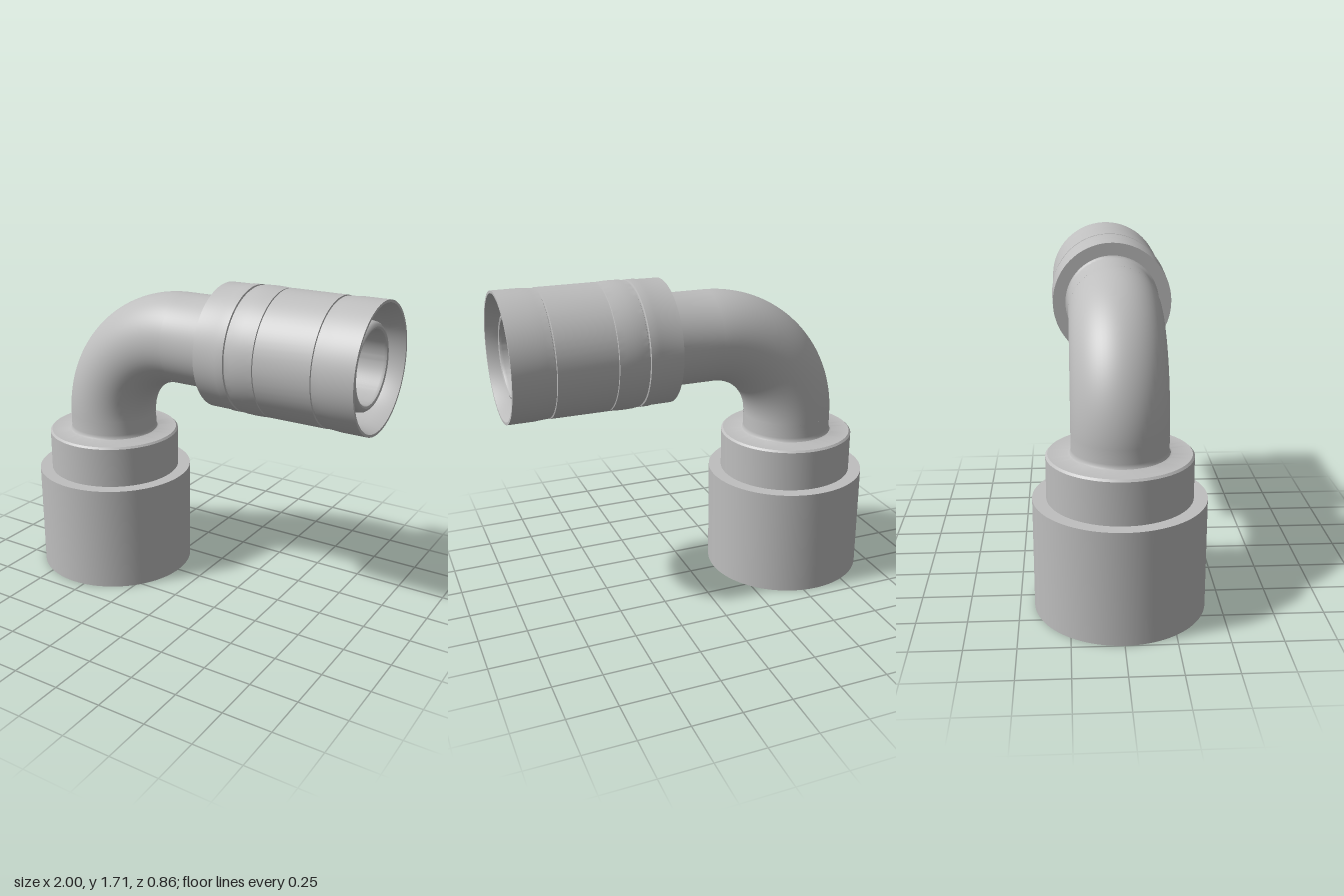
import * as THREE from 'three';
import { toCreasedNormals } from 'three/addons/utils/BufferGeometryUtils.js';

const PIPE_R = 0.238, BORE_R = 0.178, BEND_R = 0.482;
const AXIS_X = -0.572, AXIS_Y = 1.38;
const BEND_X = AXIS_X + BEND_R, BEND_Y = AXIS_Y - BEND_R;

export function createModel() {
  const group = new THREE.Group();
  const grey = new THREE.MeshStandardMaterial({ color: 0xbebebe, side: THREE.DoubleSide });
  grey.name = 'grey metal';

  const add = (name, geometry) => {
    const mesh = new THREE.Mesh(geometry, grey);
    mesh.name = name;
    group.add(mesh);
    return mesh;
  };
  // turned part from [radius, height] pairs, sharp steps kept crisp
  const turned = (name, profile) => add(name, toCreasedNormals(
    new THREE.LatheGeometry(profile.map(([r, h]) => new THREE.Vector2(r, h)), 112), 0.6));

  // hollow base socket with its collar and the upright neck
  turned('baseSocket', [
    [BORE_R, BEND_Y], [BORE_R, 0.55], [0.405, 0.55], [0.405, 0.02], [0.415, 0],
    [0.428, 0], [0.428, 0.575], [0.36, 0.575], [0.36, 0.79], [0.35, 0.8],
    [0.253, 0.8], [0.244, 0.804], [0.239, 0.813], [PIPE_R, 0.825], [PIPE_R, BEND_Y],
  ]).position.x = AXIS_X;

  // quarter bend, outside wall and bore
  for (const [name, r] of [['elbow', PIPE_R], ['elbowBore', BORE_R]]) {
    const bend = add(name, new THREE.TorusGeometry(BEND_R, r, 64, 64, Math.PI / 2));
    bend.rotation.z = Math.PI / 2;
    bend.position.set(BEND_X, BEND_Y, 0);
  }

  // parts turned about the horizontal pipe axis: height runs along x
  const horizontal = (name, profile) => {
    const mesh = turned(name, profile);
    mesh.rotation.z = -Math.PI / 2;
    mesh.position.y = AXIS_Y;
  };
  horizontal('straightPipe', [
    [PIPE_R, BEND_X], [PIPE_R, 0.14], [0.24, 0.15], [0.245, 0.157], [0.255, 0.162],
  ]);

  // outer sleeve with fine grooves, open at its far end
  horizontal('outerSleeve', [
    [0.2, 0.16], [0.318, 0.16], [0.319, 0.27], [0.322, 0.285], [0.322, 0.328],
    [0.314, 0.331], [0.314, 0.336], [0.32, 0.339], [0.324, 0.37], [0.325, 0.41],
    [0.324, 0.45], [0.321, 0.486], [0.315, 0.488], [0.315, 0.492], [0.322, 0.494],
    [0.322, 0.787], [0.315, 0.789], [0.315, 0.793], [0.319, 0.795], [0.321, 0.83],
    [0.324, 0.87], [0.324, 1], [0.311, 1], [0.287, 0.93], [0.287, 0.5], [0.2, 0.5],
  ]);

  // inner tube with a rounded lip
  horizontal('innerTube', [
    [0.205, 0.48], [0.205, 0.88], [0.217, 0.895], [0.219, 0.92], [0.215, 0.94],
    [0.205, 0.953], [0.194, 0.957], [0.184, 0.953], [BORE_R, 0.94], [BORE_R, BEND_X],
  ]);

  return group;
}
